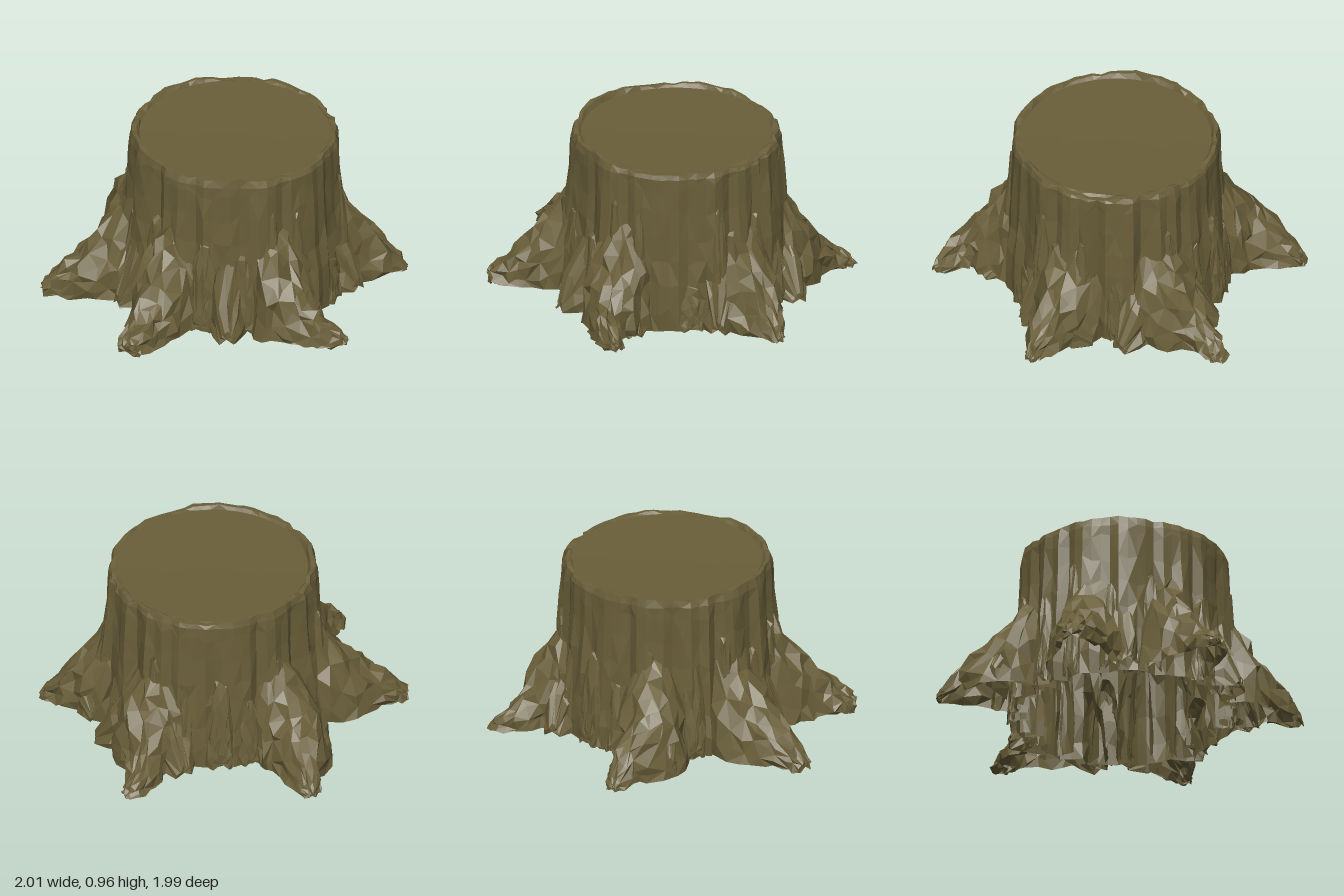
import * as THREE from 'three';

const bark = new THREE.MeshStandardMaterial({ color: 0x6a5f3a, flatShading: true, side: THREE.DoubleSide });
bark.name = 'bark brown';

const CX = 0.03, CZ = 0.025; // trunk axis

function makeRandom(seed) {
  let s = seed;
  return () => {
    s = (s * 1664525 + 1013904223) % 4294967296;
    return s / 4294967296 - 0.5;
  };
}

// Skin between rows of [x, y, z] points of equal length.
function skin(rows, name) {
  const n = rows[0].length, index = [];
  for (let i = 0; i < rows.length - 1; i++) {
    for (let j = 0; j < n - 1; j++) {
      const a = i * n + j, b = a + 1, d = a + n, c = d + 1;
      if ((i + j) % 2) index.push(a, b, c, a, c, d);
      else index.push(a, b, d, b, c, d);
    }
  }
  const indexed = new THREE.BufferGeometry();
  indexed.setAttribute('position', new THREE.Float32BufferAttribute(rows.flat(2), 3));
  indexed.setIndex(index);
  const geometry = indexed.toNonIndexed();
  geometry.computeVertexNormals();
  const mesh = new THREE.Mesh(geometry, bark);
  mesh.name = name;
  return mesh;
}

// Grooved wall, ragged rim and sunken cut face, open underneath.
function trunk() {
  const rnd = makeRandom(11), N = 72, depth = [], rim = [];
  for (let j = 0; j < N; j++) {
    depth.push(rnd() * 0.03 - (j % 5 === 2 ? 0.028 : 0));
    const th = (j / N) * Math.PI * 2;
    rim.push(0.955 - 0.012 * Math.sin(th * 1 + 0.6) + 0.008 * Math.sin(th * 5) + rnd() * 0.014);
  }
  // [radius, height, groove strength, jitter]
  const profile = [
    [0.615, 0.02, 1.1, 0.03], [0.61, 0.14, 1.2, 0.03], [0.6, 0.28, 1.2, 0.025], [0.595, 0.42, 1.2, 0.02],
    [0.587, 0.56, 1.2, 0.015], [0.578, 0.72, 1, 0.012], [0.573, 0.86, 0.8, 0.008], [0.57, 0.92, 0.6, 0.005],
    [0.558, 'rim', 0.4, 0.004], [0.535, 'rim', 0.2, 0.008], [0.52, 0.943, 0, 0], [0.3, 0.938, 0, 0], [0, 0.936, 0, 0],
  ];
  const rows = profile.map(([r, y, g, jit], i) => {
    const row = depth.map((d, j) => {
      const th = (j / N) * Math.PI * 2;
      const rr = r + d * g + rnd() * jit;
      const wall = i > 0 && i < 7 ? rnd() * 0.06 : 0;
      return [CX + rr * Math.sin(th), y === 'rim' ? rim[j] : y + wall, CZ + rr * Math.cos(th)];
    });
    return [...row, row[0]];
  });
  return skin(rows, 'trunk');
}

// Hollow arched root; path holds [x, z, half width, height, underside].
function root(path, seed, name, rough = 0.03) {
  const rnd = makeRandom(seed), K = 12, sections = [];
  const STEPS = path.length > 3 ? 2 : 1;
  for (let i = 0; i < path.length; i++) {
    for (let s = 0; s < (i < path.length - 1 ? STEPS : 1); s++) {
      const p = path[i], q = path[Math.min(i + 1, path.length - 1)];
      sections.push(p.map((v, k) => v + (q[k] - v) * (s / STEPS)));
    }
  }
  const last = sections.length - 1;
  const rows = sections.map(([x, z, w, h, base = 0.025], i) => {
    const a = sections[Math.max(i - 1, 0)], b = sections[Math.min(i + 1, last)];
    const t = new THREE.Vector2(b[0] - a[0], b[1] - a[1]).normalize();
    const amount = rough * Math.min(1, w / 0.1);
    return Array.from({ length: K + 1 }, (_, j) => {
      const ang = (j / K) * Math.PI;
      const off = -w * Math.cos(ang) + rnd() * amount;
      const up = h * Math.pow(Math.sin(ang), 0.95);
      const slip = rnd() * amount;
      const edge = j === 0 || j === K;
      const y = base + (edge ? Math.abs(rnd()) * 0.03 : Math.max(0, up - base) + rnd() * amount);
      return [x - t.y * off + t.x * slip, Math.max(0.01, y), z + t.x * off + t.y * slip];
    });
  });
  // rounded tip
  const [x, z, , h, base = 0.025] = sections[last];
  rows.push(rows[0].map(() => [x, base + (h - base) * 0.4, z]));
  return skin(rows, name);
}

// Short bark ridge or knob against the wall at a given angle.
function ridge(angle, height, width, out, seed) {
  const at = (r) => [CX + r * Math.sin(angle), CZ + r * Math.cos(angle)];
  return root([
    [...at(0.52), width, height], [...at(0.59), width * 0.95, height * 0.93],
    [...at(0.59 + (out - 0.59) * 0.6), width * 0.8, height * 0.55], [...at(out), width * 0.5, height * 0.22],
  ], seed, 'barkRidge', 0.025);
}

export function createModel() {
  const group = new THREE.Group();
  group.name = 'treeStump';
  group.add(trunk());

  // Main roots, from the trunk out to the tip
  const roots = {
    backRoot: [[0.08, -0.46, 0.17, 0.72], [0.09, -0.58, 0.19, 0.56], [0.11, -0.68, 0.2, 0.42], [0.15, -0.76, 0.17, 0.33],
      [0.23, -0.86, 0.1, 0.22], [0.28, -0.95, 0.055, 0.1], [0.295, -0.985, 0.02, 0.05]],
    backRightRoot: [[-0.32, -0.35, 0.2, 0.72], [-0.4, -0.43, 0.22, 0.5], [-0.5, -0.5, 0.19, 0.36],
      [-0.6, -0.57, 0.13, 0.24], [-0.69, -0.65, 0.085, 0.16], [-0.75, -0.7, 0.045, 0.08]],
    rightRoot: [[-0.48, 0.02, 0.17, 0.72], [-0.57, 0.01, 0.19, 0.55], [-0.67, 0.03, 0.17, 0.4], [-0.78, 0.05, 0.13, 0.27],
      [-0.89, 0.06, 0.11, 0.18], [-0.96, 0.055, 0.085, 0.13], [-0.995, 0.055, 0.05, 0.08]],
    frontRoot: [[-0.22, 0.48, 0.17, 0.72], [-0.25, 0.58, 0.2, 0.56], [-0.27, 0.67, 0.17, 0.4, 0.04], [-0.3, 0.77, 0.1, 0.28, 0.05],
      [-0.28, 0.87, 0.07, 0.21, 0.05], [-0.24, 0.95, 0.04, 0.14, 0.06], [-0.225, 0.99, 0.02, 0.11, 0.07]],
    frontLeftRoot: [[0.36, 0.38, 0.2, 0.74], [0.42, 0.45, 0.22, 0.54], [0.49, 0.54, 0.17, 0.36],
      [0.57, 0.64, 0.1, 0.22], [0.62, 0.71, 0.05, 0.12], [0.64, 0.745, 0.02, 0.05]],
    leftRoot: [[0.52, -0.06, 0.2, 0.74], [0.62, -0.08, 0.23, 0.54], [0.69, -0.11, 0.19, 0.4], [0.77, -0.17, 0.11, 0.25],
      [0.87, -0.23, 0.075, 0.15], [0.95, -0.24, 0.06, 0.08], [0.99, -0.225, 0.03, 0.035]],
  };
  Object.entries(roots).forEach(([name, path], i) => group.add(root(path, 31 + i * 17, name, 0.045)));

  // Side spurs branching from the main roots
  const spurs = [
    [[0.56, -0.18, 0.12, 0.42], [0.62, -0.28, 0.08, 0.26], [0.645, -0.35, 0.045, 0.1]],
    [[0.58, 0.08, 0.12, 0.42], [0.67, 0.17, 0.09, 0.26], [0.72, 0.25, 0.04, 0.08]],
    [[0.5, 0.42, 0.11, 0.42], [0.58, 0.42, 0.08, 0.24], [0.61, 0.36, 0.03, 0.1]],
    [[0.3, 0.52, 0.11, 0.5], [0.31, 0.61, 0.08, 0.28], [0.3, 0.67, 0.04, 0.1]],
    [[-0.2, 0.6, 0.1, 0.36], [-0.16, 0.69, 0.07, 0.2], [-0.15, 0.74, 0.04, 0.08]],
    [[-0.45, 0.35, 0.11, 0.45], [-0.53, 0.4, 0.08, 0.26], [-0.58, 0.43, 0.04, 0.1]],
    [[-0.5, -0.25, 0.1, 0.44], [-0.57, -0.27, 0.07, 0.24], [-0.62, -0.29, 0.03, 0.1]],
    [[0.03, -0.62, 0.1, 0.42], [0.0, -0.74, 0.08, 0.3], [-0.02, -0.81, 0.04, 0.14]],
  ];
  spurs.forEach((path, i) => group.add(root(path, 201 + i * 13, 'rootSpur', 0.035)));

  // Bark ridges round the wall: [angle in degrees, height, half width, reach]
  [
    [27, 0.78, 0.06, 0.64], [12, 0.3, 0.1, 0.62], [52, 0.68, 0.06, 0.65], [72, 0.5, 0.08, 0.64], [100, 0.72, 0.07, 0.63],
    [118, 0.55, 0.07, 0.64], [138, 0.6, 0.09, 0.64], [154, 0.45, 0.08, 0.63], [172, 0.7, 0.06, 0.65], [196, 0.62, 0.08, 0.64],
    [215, 0.75, 0.06, 0.64], [236, 0.6, 0.07, 0.65], [258, 0.66, 0.06, 0.63], [290, 0.6, 0.09, 0.64], [312, 0.52, 0.09, 0.64],
    [328, 0.8, 0.05, 0.63], [343, 0.76, 0.05, 0.63],
  ].forEach(([deg, h, w, out], i) => group.add(ridge(THREE.MathUtils.degToRad(deg), h, w, out, 401 + i * 7)));

  return group;
}
